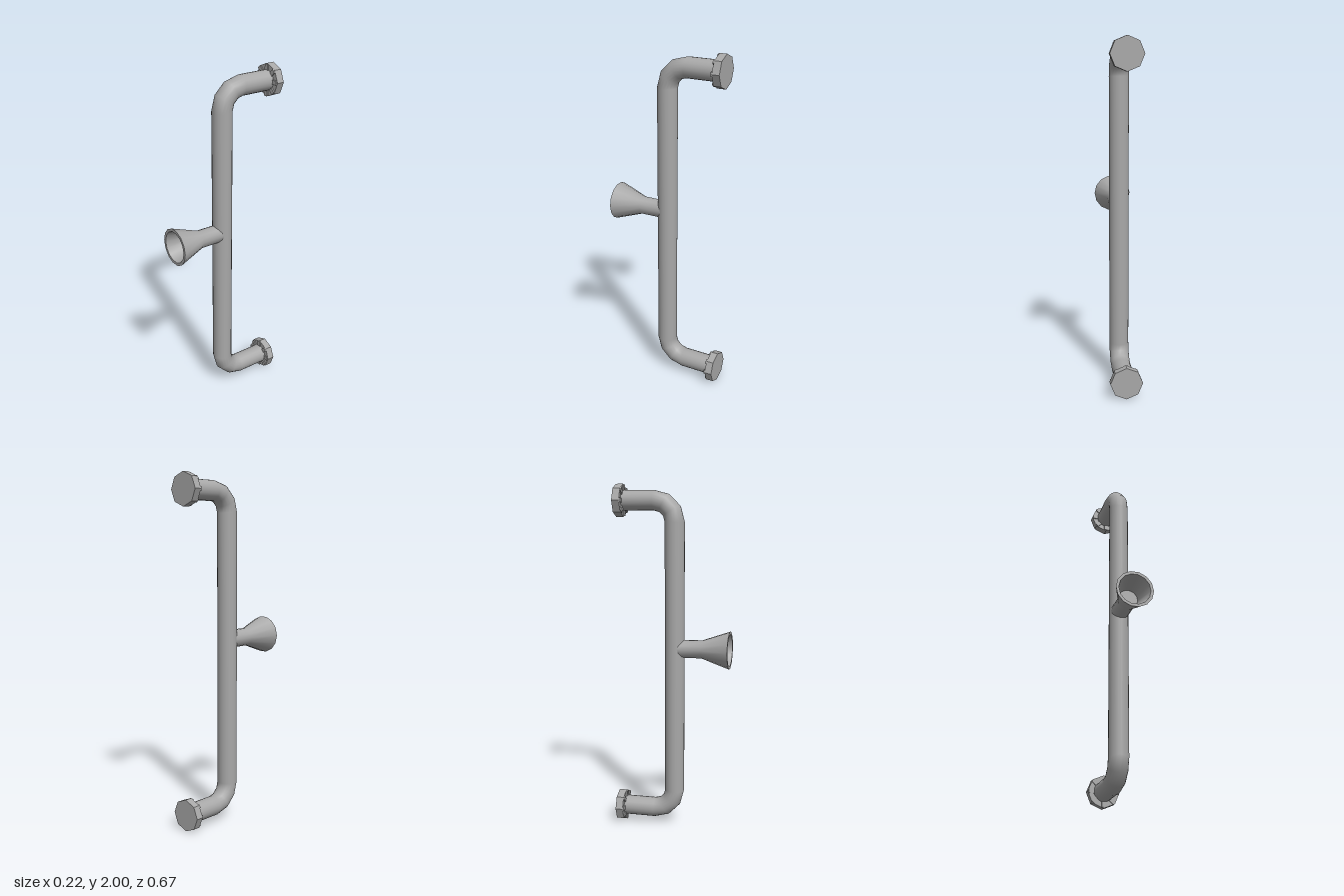
import * as THREE from 'three';
import { toCreasedNormals } from 'three/addons/utils/BufferGeometryUtils.js';

const metal = new THREE.MeshStandardMaterial({ color: 0xa8a8a8 });
metal.name = 'grey metal';

const BOTTOM = 0.095, TOP = 1.91; // heights of the two mounting arms

function part(name, geometry) {
  const mesh = new THREE.Mesh(geometry, metal);
  mesh.name = name;
  return mesh;
}

// Round bar swept through two quarter bends, as rings along the path
function barGeometry() {
  const radius = 0.057, bend = 0.12, bendZ = -0.11, sides = 20, steps = 3;
  const stations = [[BOTTOM, -0.3, -Math.PI / 2]]; // y, z, outward angle
  for (const [y, from] of [[BOTTOM + bend, -Math.PI / 2], [TOP - bend, 0]]) {
    for (let i = 0; i <= steps; i++) {
      const t = from + (i / steps) * Math.PI / 2;
      stations.push([y + bend * Math.sin(t), bendZ + bend * Math.cos(t), t]);
    }
  }
  stations.push([TOP, -0.3, Math.PI / 2]);

  const positions = [], normals = [], index = [];
  stations.forEach(([y, z, t], i) => {
    for (let j = 0; j <= sides; j++) {
      const a = (j / sides) * Math.PI * 2;
      const n = [Math.cos(a), Math.sin(a) * Math.sin(t), Math.sin(a) * Math.cos(t)];
      normals.push(...n);
      positions.push(radius * n[0], y + radius * n[1], z + radius * n[2]);
      if (i > 0 && j < sides) {
        const c = i * (sides + 1) + j, p = c - sides - 1;
        index.push(p, c, p + 1, p + 1, c, c + 1);
      }
    }
  });
  const geometry = new THREE.BufferGeometry();
  geometry.setAttribute('position', new THREE.Float32BufferAttribute(positions, 3));
  geometry.setAttribute('normal', new THREE.Float32BufferAttribute(normals, 3));
  geometry.setIndex(index);
  return geometry;
}

// Eight-sided wall mount with small raised ribs around the bar
function wallMount(name, y) {
  const mount = new THREE.Group();
  mount.name = name;
  const plate = new THREE.CylinderGeometry(0.0925, 0.0925, 0.043, 8).rotateX(Math.PI / 2);
  const octagon = part('octagonalPlate', toCreasedNormals(plate, 0.3));
  octagon.position.z = -0.3115;
  mount.add(octagon);
  for (let i = 0; i < 8; i++) {
    const rib = new THREE.BoxGeometry(0.024, 0.034, 0.009);
    rib.translate(0, 0.071, -0.2875).rotateZ(i * Math.PI / 4);
    mount.add(part('plateRib', rib));
  }
  mount.position.y = y;
  return mount;
}

// Hollow flared horn on a straight neck, facing forward
function hornGeometry() {
  const profile = [
    [0.052, 0.02], [0.052, 0.17], [0.109, 0.333],
    [0.092, 0.333], [0.057, 0.2], [0, 0.2],
  ].map(([r, h]) => new THREE.Vector2(r, h));
  const lathe = new THREE.LatheGeometry(profile, 14, Math.PI / 2).rotateX(Math.PI / 2);
  return toCreasedNormals(lathe, 0.6);
}

export function createModel() {
  const model = new THREE.Group();
  model.name = 'doorHandle';
  const horn = part('flaredHorn', hornGeometry());
  horn.position.y = 1.07;
  model.add(
    part('bentBar', barGeometry()),
    wallMount('lowerMount', BOTTOM),
    wallMount('upperMount', TOP),
    horn,
  );
  return model;
}
